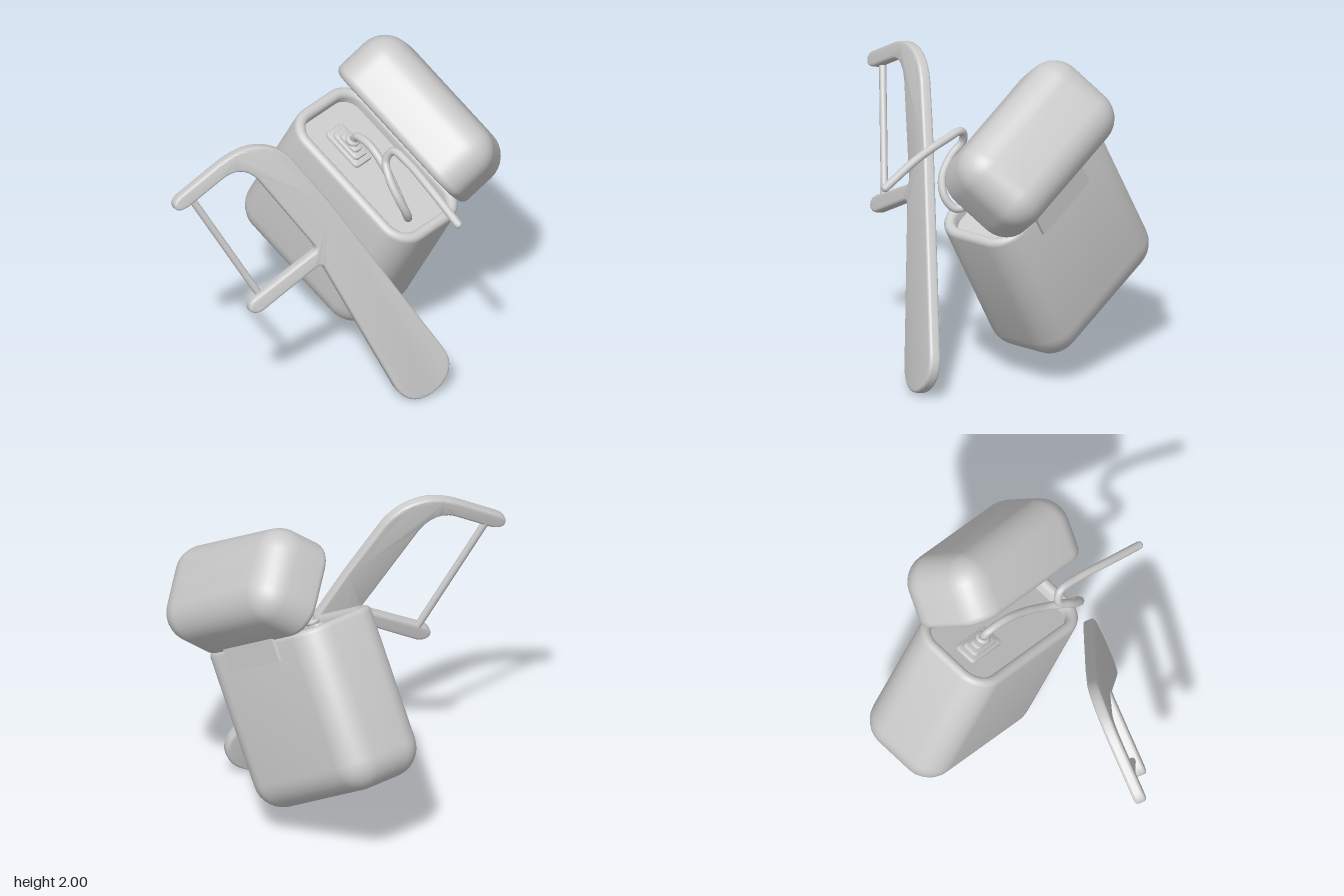
import * as THREE from 'three';
import { toCreasedNormals } from 'three/addons/utils/BufferGeometryUtils.js';

const mat = new THREE.MeshStandardMaterial({ color: 0xcccccc, side: THREE.DoubleSide });
const V = (x, y, z) => new THREE.Vector3(x, y, z);

function add(parent, name, geo, x = 0, y = 0, z = 0) {
  const m = new THREE.Mesh(geo, mat);
  m.name = name;
  m.position.set(x, y, z);
  parent.add(m);
  return m;
}

// Stack of rounded-rectangle loops; profile is a list of [inset, height]
function roundedShell(a, c, r, profile, seg = 10) {
  const pos = [], idx = [], n = 4 * (seg + 1);
  for (const [inset, y] of profile) {
    const rad = Math.max(0, r - inset);
    const A = Math.max(0, a - inset - rad), C = Math.max(0, c - inset - rad);
    for (let k = 0; k < 4; k++) {
      const sx = k === 0 || k === 3 ? 1 : -1, sz = k < 2 ? 1 : -1;
      for (let s = 0; s <= seg; s++) {
        const t = (k + s / seg) * Math.PI / 2;
        pos.push(sx * A + rad * Math.cos(t), y, sz * C + rad * Math.sin(t));
      }
    }
  }
  for (let i = 0; i < profile.length - 1; i++) {
    for (let j = 0; j < n; j++) {
      const p = i * n + j, q = i * n + (j + 1) % n;
      idx.push(p, p + n, q, p + n, q + n, q);
    }
  }
  const g = new THREE.BufferGeometry();
  g.setAttribute('position', new THREE.Float32BufferAttribute(pos, 3));
  g.setIndex(idx);
  return toCreasedNormals(g, 0.6);
}

// Quarter or longer arc of profile points
function arc(ci, cy, r, from, to, steps = 8) {
  return Array.from({ length: steps + 1 }, (_, i) => {
    const t = from + (to - from) * i / steps;
    return [ci - r * Math.cos(t), cy + r * Math.sin(t)];
  });
}

function makeCase() {
  const g = new THREE.Group();
  g.name = 'case';
  const a = 0.53, b = 0.51, c = 0.3, r = 0.18, H = Math.PI / 2;

  // Body: rounded bottom, rolled lip, shallow recessed tray
  add(g, 'caseBody', roundedShell(a, c, r, [
    [c, -b], ...arc(r, r - b, r, -H, 0),
    ...arc(0.035, b - 0.035, 0.035, 0, Math.PI), [0.07, b - 0.075], [c, b - 0.075],
  ]));

  // Lid swung open around the back edge
  const h = 0.415, e = 0.05;
  const lid = add(g, 'lid', roundedShell(a, c, r, [
    [c, 0], ...arc(e, e, e, -H, 0), ...arc(r, h - r, r, 0, H), [c, h],
  ]), -0.005, 0.708, -0.087);
  lid.rotation.x = -0.87;

  // Thin hinge plate on the back
  add(g, 'hinge', new THREE.BoxGeometry(0.46, 0.15, 0.03), 0.022, b - 0.065, -c - 0.008);

  // Stepped outlet for the thread
  [[0.28, 0.15], [0.21, 0.11], [0.14, 0.075]].forEach(([w, d], i) =>
    add(g, 'outletStep', roundedShell(w / 2, d / 2, 0.025, [
      [d / 2, 0], [0, 0], [0, 0.014], [0.003, 0.021], [0.01, 0.024], [d / 2, 0.024],
    ], 4), -0.2, b - 0.077 + i * 0.02, 0.02));
  add(g, 'outletCollar', new THREE.TorusGeometry(0.03, 0.016, 10, 24).rotateX(H), -0.2, b, 0.02);

  const u = V(0.668, -0.481, 0.568).normalize();
  const w = u.clone().cross(V(0.35, 0.876, 0.333)).normalize();
  g.quaternion.setFromRotationMatrix(new THREE.Matrix4().makeBasis(u, w.clone().cross(u), w));
  g.position.set(0.062, 0.813, -0.249);
  return g;
}

function makePick() {
  const g = new THREE.Group();
  g.name = 'pick';
  // Tilted plane of the pick; outline points are given by x and y
  const n = V(0.393, 0.203, 0.896).normalize();
  const X = V(0.745, 0.5, -0.44);
  X.addScaledVector(n, -X.dot(n)).normalize();
  const Y = n.clone().cross(X);
  const P = (x, y) => {
    const p = V(x, y, -(n.x * x + n.y * y) / n.z);
    return [p.dot(X), p.dot(Y)];
  };
  const s = new THREE.Shape();
  const L = (x, y) => s.lineTo(...P(x, y));
  const Q = (cx, cy, x, y) => s.quadraticCurveTo(...P(cx, cy), ...P(x, y));
  // Rounded handle end and outer side of the shaft
  s.moveTo(...P(0.34, 0.11));
  Q(0.40, 0.005, 0.49, 0.005);
  Q(0.57, 0.01, 0.63, 0.085);
  Q(0.69, 0.18, 0.62, 0.29);
  L(-0.05, 1.365);
  L(-0.25, 1.66);
  // Upper arm
  Q(-0.36, 1.82, -0.53, 1.82);
  Q(-0.61, 1.815, -0.70, 1.765);
  L(-0.93, 1.625);
  Q(-0.98, 1.59, -0.955, 1.55);
  Q(-0.93, 1.52, -0.87, 1.55);
  L(-0.68, 1.665);
  Q(-0.57, 1.73, -0.47, 1.61);
  L(-0.14, 1.12);
  // Lower arm
  Q(-0.12, 1.09, -0.145, 1.075);
  L(-0.48, 0.885);
  Q(-0.535, 0.85, -0.515, 0.805);
  Q(-0.48, 0.77, -0.43, 0.795);
  L(-0.13, 0.975);
  Q(-0.095, 0.995, -0.075, 0.955);
  s.closePath();
  const geo = new THREE.ExtrudeGeometry(s, {
    depth: 0.035, bevelThickness: 0.018, bevelSize: 0.018, bevelOffset: -0.018, bevelSegments: 5, curveSegments: 10,
  }).translate(0, 0, -0.0175);
  add(g, 'pickFrame', toCreasedNormals(geo, 0.7));

  // Thread stretched between the arms
  const ends = [P(-0.85, 1.58), P(-0.43, 0.85)].map(([x, y]) => V(x, y, -0.015));
  add(g, 'pickThread', new THREE.TubeGeometry(new THREE.LineCurve3(...ends), 1, 0.022, 12));

  g.quaternion.setFromRotationMatrix(new THREE.Matrix4().makeBasis(X, Y, n));
  g.position.z = 0.752;
  return g;
}

export function createModel() {
  const model = new THREE.Group();
  model.add(makeCase(), makePick());

  // Loose thread looping out of the case
  const path = [
    [0.10, 1.34, -0.18], [0.115, 1.4, -0.15], [0.2, 1.395, -0.05], [0.30, 1.29, 0.07], [0.385, 1.16, 0.2],
    [0.42, 1.13, 0.3], [0.415, 1.2, 0.365], [0.37, 1.31, 0.38], [0.315, 1.42, 0.33], [0.29, 1.51, 0.26],
    [0.335, 1.585, 0.27], [0.43, 1.56, 0.37], [0.56, 1.485, 0.53], [0.72, 1.365, 0.71],
  ].map((p) => V(...p));
  add(model, 'looseThread', new THREE.TubeGeometry(new THREE.CatmullRomCurve3(path), 120, 0.025, 12));
  const tip = path[path.length - 1];
  add(model, 'threadEnd', new THREE.SphereGeometry(0.025, 12, 8), tip.x, tip.y, tip.z);
  return model;
}
